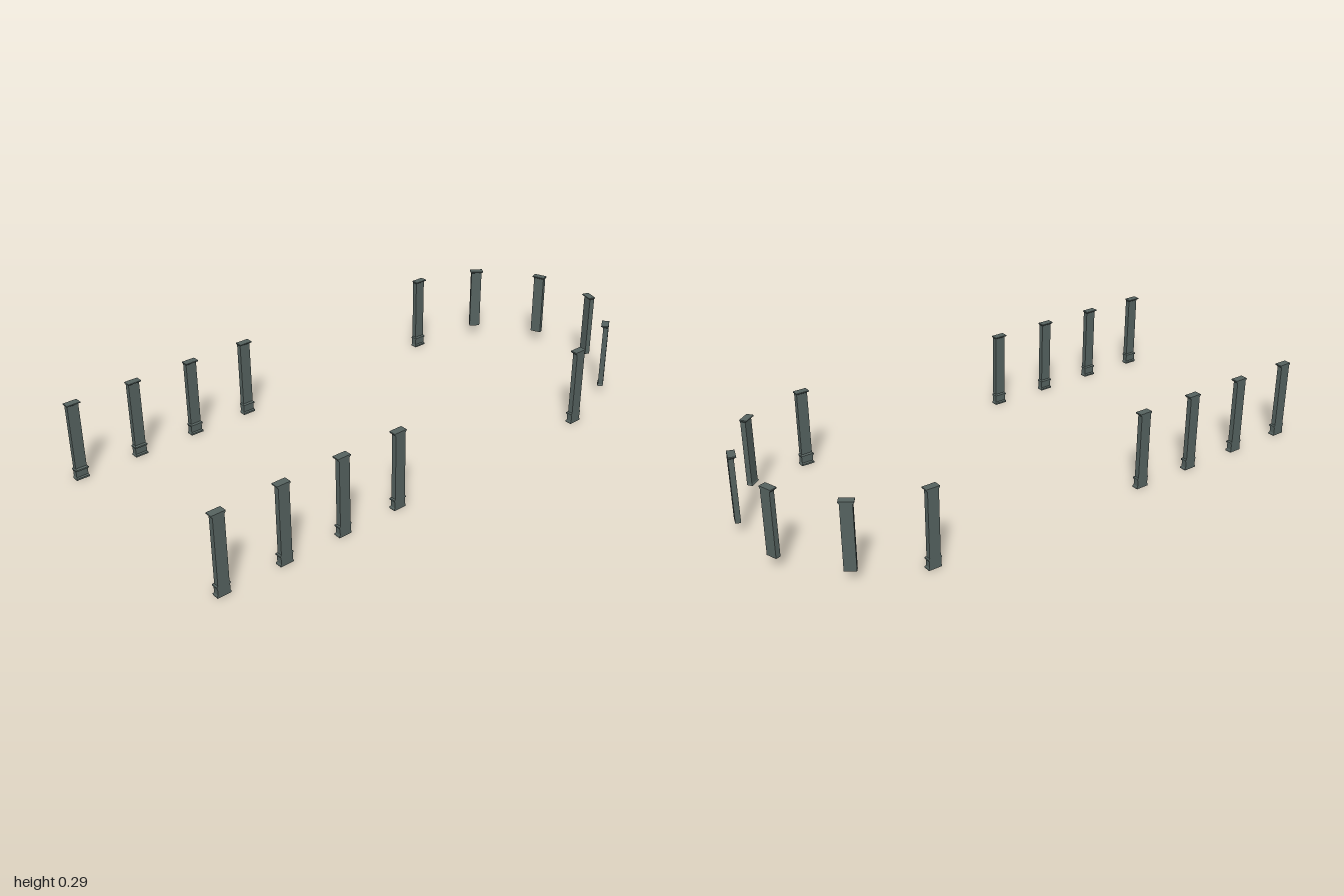
import * as THREE from 'three';

const stone = new THREE.MeshStandardMaterial({ color: 0x55625f });
stone.name = 'slate stone';

const WALL = 0.433;     // distance of the pilaster backs from the hall axis
const APSE_Z = -0.582;  // centre of the rounded end
const TOP = 0.29;

// Block from y0 to y1 with its back on z = 0; width and depth may taper upward
function block(name, y0, y1, w0, d0, w1 = w0, d1 = d0) {
  const g = new THREE.BoxGeometry(1, 1, 1).toNonIndexed();
  const p = g.attributes.position;
  for (let i = 0; i < p.count; i++) {
    const up = p.getY(i) > 0;
    p.setXYZ(i, p.getX(i) * (up ? w1 : w0), up ? y1 : y0, (p.getZ(i) + 0.5) * (up ? d1 : d0));
  }
  g.computeVertexNormals();
  const m = new THREE.Mesh(g, stone);
  m.name = name;
  return m;
}

// base: 'full' pedestal, 'lip' only its upper moulding, 'none' plain cut shaft
function pilaster(name, base) {
  const g = new THREE.Group();
  g.name = name;
  g.add(
    block('shaft', base === 'full' ? 0.042 : 0.044, 0.282, 0.041, 0.019),
    block('capitalMoulding', 0.281, 0.286, 0.041, 0.019, 0.05, 0.026),
    block('capitalSlab', 0.286, TOP, 0.05, 0.027)
  );
  if (base === 'full') {
    g.add(
      block('footSlab', 0, 0.006, 0.049, 0.025),
      block('footMoulding', 0.006, 0.01, 0.049, 0.025, 0.044, 0.021),
      block('pedestal', 0.01, 0.034, 0.044, 0.021),
      block('pedestalSlab', 0.034, 0.039, 0.049, 0.025),
      block('pedestalMoulding', 0.039, 0.043, 0.049, 0.025, 0.041, 0.019)
    );
  } else if (base === 'lip') {
    g.add(block('baseMoulding', 0.038, 0.044, 0.046, 0.022, 0.041, 0.019));
  }
  return g;
}

export function createModel() {
  const model = new THREE.Group();
  model.name = 'pilasterHall';

  for (const side of [-1, 1]) {
    const label = side > 0 ? 'left' : 'right';

    // Straight walls
    for (let i = 0; i < 4; i++) {
      const p = pilaster(`${label}WallPilaster${i + 1}`, 'full');
      p.position.set(side * WALL, 0, 0.975 - i * 0.2305);
      p.rotation.y = -side * Math.PI / 2;
      model.add(p);
    }

    // Rounded end, fanned in 36 degree steps
    for (const deg of [18, 54, 90]) {
      const a = THREE.MathUtils.degToRad(deg) * side;
      const base = deg === 90 ? 'full' : deg === 54 && side > 0 ? 'lip' : 'none';
      const p = pilaster(`${label}ApsePilaster${deg}`, base);
      p.position.set(Math.sin(a) * WALL, 0, APSE_Z - Math.cos(a) * WALL);
      p.rotation.y = -a;
      model.add(p);
    }
  }
  return model;
}
